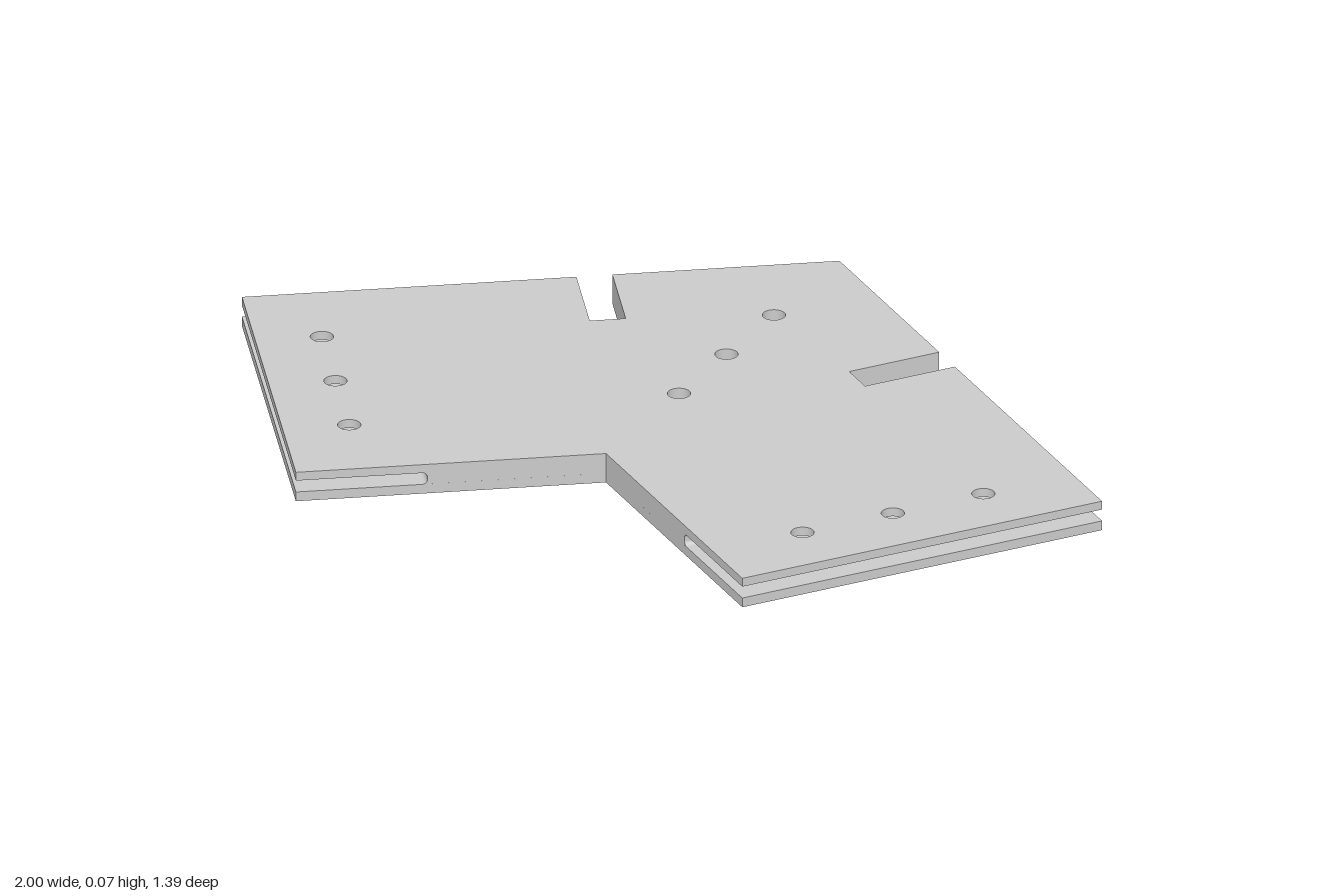
import * as THREE from 'three';

const ANGLE = Math.PI / 5;                       // splay of each arm
const C = Math.cos(ANGLE), S = Math.sin(ANGLE);
const HEIGHT = 0.066, SLOT_LOW = 0.021, SLOT_HIGH = 0.047;
const SLOT_DEPTH = 0.272, ARM_WIDTH = 0.819, FILLET = 0.01, BACKING = 0.02;
const HOLE_RADIUS = 0.024;

const material = new THREE.MeshStandardMaterial({ color: 0xcccccc });

// Three holes along the centre line, three across each arm end
const centreHoles = [[0, 0], [0, -0.206], [0, -0.412]];
const armHoles = [[0.769, 0.114], [0.648, 0.281], [0.527, 0.447]];
const allHoles = [...centreHoles];
for (const [x, z] of armHoles) allHoles.push([x, z], [-x, z]);

// Symmetric plan outline with its arms shortened by trim
function planShape(trim, holes) {
  const half = [
    [0.519 - C * trim, 0.693 - S * trim],        // arm end, front corner
    [1 - C * trim, 0.03 - S * trim],             // arm end, back corner
    [0.44, -0.376], [0.32, -0.21],               // notch
    [0.26, -0.254], [0.38, -0.42],
  ];
  const mirrored = half.map(([x, z]) => [-x, z]).reverse();
  const points = [[0, 0.316], ...half, [0, -0.696], ...mirrored];
  const shape = new THREE.Shape(points.map(([x, z]) => new THREE.Vector2(x, -z)));
  for (const [x, z] of holes) {
    shape.holes.push(new THREE.Path().absarc(x, -z, HOLE_RADIUS, 0, Math.PI * 2, true));
  }
  return shape;
}

// Flat layer between two heights
function layer(name, shape, bottom, top) {
  const geometry = new THREE.ExtrudeGeometry(shape, {
    depth: top - bottom, bevelEnabled: false, curveSegments: 16,
  });
  geometry.rotateX(-Math.PI / 2).translate(0, bottom, 0);
  const mesh = new THREE.Mesh(geometry, material);
  mesh.name = name;
  return mesh;
}

// Inner end of a slot, with its corners rounded
function slotFloor(name, x, z, turn) {
  const h = SLOT_HIGH - SLOT_LOW, r = FILLET;
  const profile = new THREE.Shape();
  profile.moveTo(-BACKING, 0);
  profile.lineTo(r, 0);
  profile.absarc(r, r, r, -Math.PI / 2, -Math.PI, true);
  profile.lineTo(0, h - r);
  profile.absarc(r, h - r, r, Math.PI, Math.PI / 2, true);
  profile.lineTo(-BACKING, h);
  const geometry = new THREE.ExtrudeGeometry(profile, {
    depth: ARM_WIDTH, bevelEnabled: false, curveSegments: 6,
  });
  const mesh = new THREE.Mesh(geometry, material);
  mesh.name = name;
  mesh.position.set(x, SLOT_LOW, z);
  mesh.rotation.y = turn;
  return mesh;
}

export function createModel() {
  const group = new THREE.Group();
  group.name = 'slottedBracketPlate';

  // Lower and upper plates reach the arm ends; the core stops at the slots
  const plate = planShape(0, allHoles);
  group.add(layer('lowerPlate', plate, 0, SLOT_LOW));
  group.add(layer('core', planShape(SLOT_DEPTH + BACKING, centreHoles), SLOT_LOW, SLOT_HIGH));
  group.add(layer('upperPlate', plate, SLOT_HIGH, HEIGHT));

  // Slot ends, each running across its arm
  const dx = C * SLOT_DEPTH, dz = S * SLOT_DEPTH;
  group.add(slotFloor('leftSlotFloor', 1 - dx, 0.03 - dz, -ANGLE));
  group.add(slotFloor('rightSlotFloor', -(0.519 - dx), 0.693 - dz, ANGLE - Math.PI));

  return group;
}
